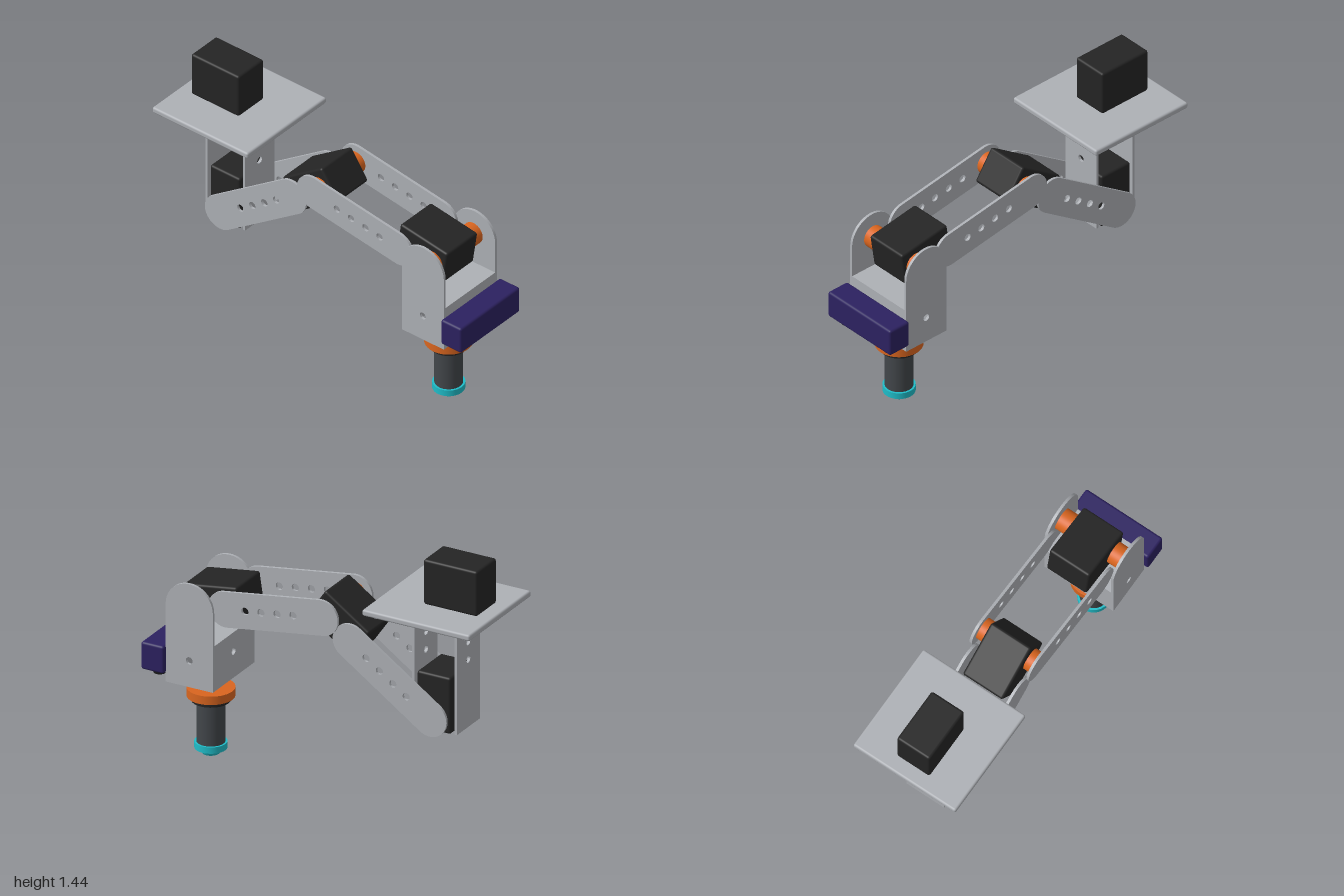
import * as THREE from 'three';
import { toCreasedNormals } from 'three/addons/utils/BufferGeometryUtils.js';
import { RoundedBoxGeometry } from 'three/addons/geometries/RoundedBoxGeometry.js';

const mat = (name, color) => {
  const m = new THREE.MeshStandardMaterial({ color });
  m.name = name;
  return m;
};

export function createModel() {
  const metal = mat('aluminium', 0xadb0b5);
  const black = mat('motor black', 0x242424);
  const orange = mat('orange', 0xd9651f);
  const grey = mat('dark grey', 0x42464a);
  const cyan = mat('cyan', 0x1fbcc8);
  const navy = mat('navy', 0x2c2160);

  const model = new THREE.Group();
  model.name = 'robotArm';

  const add = (parent, name, geo, material, x = 0, y = 0, z = 0) => {
    const mesh = new THREE.Mesh(geo, material);
    mesh.name = name;
    mesh.position.set(x, y, z);
    parent.add(mesh);
    return mesh;
  };
  const group = (parent, name, x = 0, y = 0, z = 0) => {
    const g = new THREE.Group();
    g.name = name;
    g.position.set(x, y, z);
    parent.add(g);
    return g;
  };
  const box = (w, h, d, r = 0) => (r ? new RoundedBoxGeometry(w, h, d, 3, r) : new THREE.BoxGeometry(w, h, d));
  const cyl = (rTop, rBottom, h) => new THREE.CylinderGeometry(rTop, rBottom, h, 40);

  // Sheet metal with drilled holes, centred on its thickness
  const T = 0.015;
  const sheet = (shape, holes, r) => {
    for (const [x, y] of holes) {
      shape.holes.push(new THREE.Path().absarc(x, y, r, 0, Math.PI * 2, true));
    }
    const geo = new THREE.ExtrudeGeometry(shape, { depth: T, bevelEnabled: false, curveSegments: 20 });
    geo.translate(0, 0, -T / 2);
    return toCreasedNormals(geo, 0.5);
  };
  const rect = (x0, y0, x1, y1) => new THREE.Shape([
    new THREE.Vector2(x0, y0), new THREE.Vector2(x1, y0),
    new THREE.Vector2(x1, y1), new THREE.Vector2(x0, y1),
  ]);

  // Joint frame: local x runs along the arm (towards -z), local z is the pivot axis
  const joint = (name, y, z, angle) => {
    const frame = group(model, name, 0, y, z);
    frame.rotation.y = Math.PI / 2;
    const turned = group(frame, name + 'Turned');
    turned.rotation.z = angle;
    return turned;
  };
  const servo = (parent, reach) => {
    add(parent, 'servo', box(0.32, 0.2, 0.25, 0.014), black, 0.08);
    for (const s of [-1, 1]) {
      const hub = add(parent, 'hub', cyl(0.062, 0.062, reach - 0.12), orange, 0, 0, s * (reach + 0.12) / 2);
      hub.rotation.x = Math.PI / 2;
    }
  };

  // Pair of round-ended links; start is the distance from the pivot
  const LEN = 0.577, R = 0.1;
  const links = (parent, start, offset) => {
    const shape = () => {
      const s = new THREE.Shape();
      s.moveTo(0, -R);
      s.lineTo(LEN, -R);
      s.absarc(LEN, 0, R, -Math.PI / 2, Math.PI / 2, false);
      s.lineTo(0, R);
      s.absarc(0, 0, R, Math.PI / 2, Math.PI * 1.5, false);
      return s;
    };
    const holes = [0.12, 0.216, 0.313, 0.409].map((x) => [x, 0]);
    for (const s of [-1, 1]) add(parent, 'link', sheet(shape(), holes, 0.021), metal, start, 0, s * offset);
  };

  const upperArm = joint('upperArm', 0.9, 0.72, 0.15);
  servo(upperArm, 0.2);
  links(upperArm, 0.192, 0.178);

  const forearm = joint('forearm', 1.015, -0.04, -0.602);
  servo(forearm, 0.17);
  links(forearm, 0.192, 0.158);

  const wrist = joint('wrist', 0.576, -0.675, Math.PI / 2);
  servo(wrist, 0.15);

  // Shoulder bracket: two round-topped cheeks joined by a box open below
  const bracket = group(model, 'shoulderBracket', 0, 0, 0.725);
  const cheek = () => {
    const s = new THREE.Shape();
    s.moveTo(-0.14, 0.455);
    s.lineTo(0.14, 0.455);
    s.lineTo(0.14, 0.9);
    s.absarc(0, 0.9, 0.14, 0, Math.PI, false);
    return s;
  };
  for (const s of [-1, 1]) {
    const side = add(bracket, 'cheek', sheet(cheek(), [[0, 0.605]], 0.02), metal, s * 0.2075);
    side.rotation.y = Math.PI / 2;
    add(bracket, 'crossWall', sheet(rect(-0.2, 0.455, 0.2, 0.7), [[0, 0.605]], 0.02), metal, 0, 0, s * 0.1325);
  }
  add(bracket, 'bracketDeck', box(0.4, T, 0.28), metal, 0, 0.7055, 0);

  // Gripper hanging from the bracket
  const tool = group(model, 'suctionTool', 0, 0, 0.72);
  add(tool, 'shaft', cyl(0.021, 0.021, 0.33), metal, 0, 0.535);
  add(tool, 'shaftCollar', cyl(0.032, 0.032, 0.06), black, 0, 0.605);
  add(tool, 'flange', cyl(0.127, 0.127, 0.048), orange, 0, 0.35);
  add(tool, 'neck', cyl(0.103, 0.103, 0.026), black, 0, 0.313);
  add(tool, 'barrel', cyl(0.075, 0.075, 0.24), grey, 0, 0.182);
  const tip = [[0, 0.01], [0.02, 0.01], [0.025, 0], [0.046, 0], [0.062, 0.03], [0.086, 0.03], [0.086, 0.066], [0, 0.066]];
  const tipGeo = new THREE.LatheGeometry(tip.map(([x, y]) => new THREE.Vector2(x, y)), 40);
  add(tool, 'suctionTip', toCreasedNormals(tipGeo, 0.4), cyan);

  // Sensor bar with two downward lenses
  const sensor = group(model, 'sensorBar', 0, 0, 0.932);
  add(sensor, 'sensorBody', box(0.48, 0.156, 0.136, 0.014), navy, 0, 0.582);
  for (const s of [-1, 1]) add(sensor, 'lens', cyl(0.047, 0.032, 0.034), black, s * 0.16, 0.489);

  // Upright channel between wrist and base plate
  const channel = group(model, 'uprightChannel', 0, 0, -0.677);
  for (const s of [-1, 1]) {
    add(channel, 'channelWall', sheet(rect(-0.118, 0.5, 0.118, 1.11), [[0, 0.985], [0, 0.885]], 0.02),
      metal, 0, 0, s * 0.1255);
  }
  add(channel, 'channelCap', box(0.236, T, 0.266), metal, 0, 1.1175);

  // Mounting plate with corner rings, turntable hub and base servo
  const base = group(model, 'mount', 0, 0, -0.68);
  add(base, 'turntableHub', cyl(0.076, 0.076, 0.036), orange, 0, 1.141);
  add(base, 'mountPlate', box(0.64, 0.036, 0.64, 0.012), metal, 0, 1.173);
  add(base, 'baseServo', box(0.205, 0.255, 0.32, 0.014), black, 0, 1.317, -0.08);
  const ring = [[0.014, 1.157], [0.014, 1.14], [0.026, 1.14], [0.026, 1.157]].map(([x, y]) => new THREE.Vector2(x, y));
  const ringGeo = toCreasedNormals(new THREE.LatheGeometry(ring, 24), 0.5);
  for (const x of [-0.26, 0.26]) for (const z of [-0.26, 0.26]) add(base, 'boltRing', ringGeo, metal, x, 0, z);

  return model;
}
